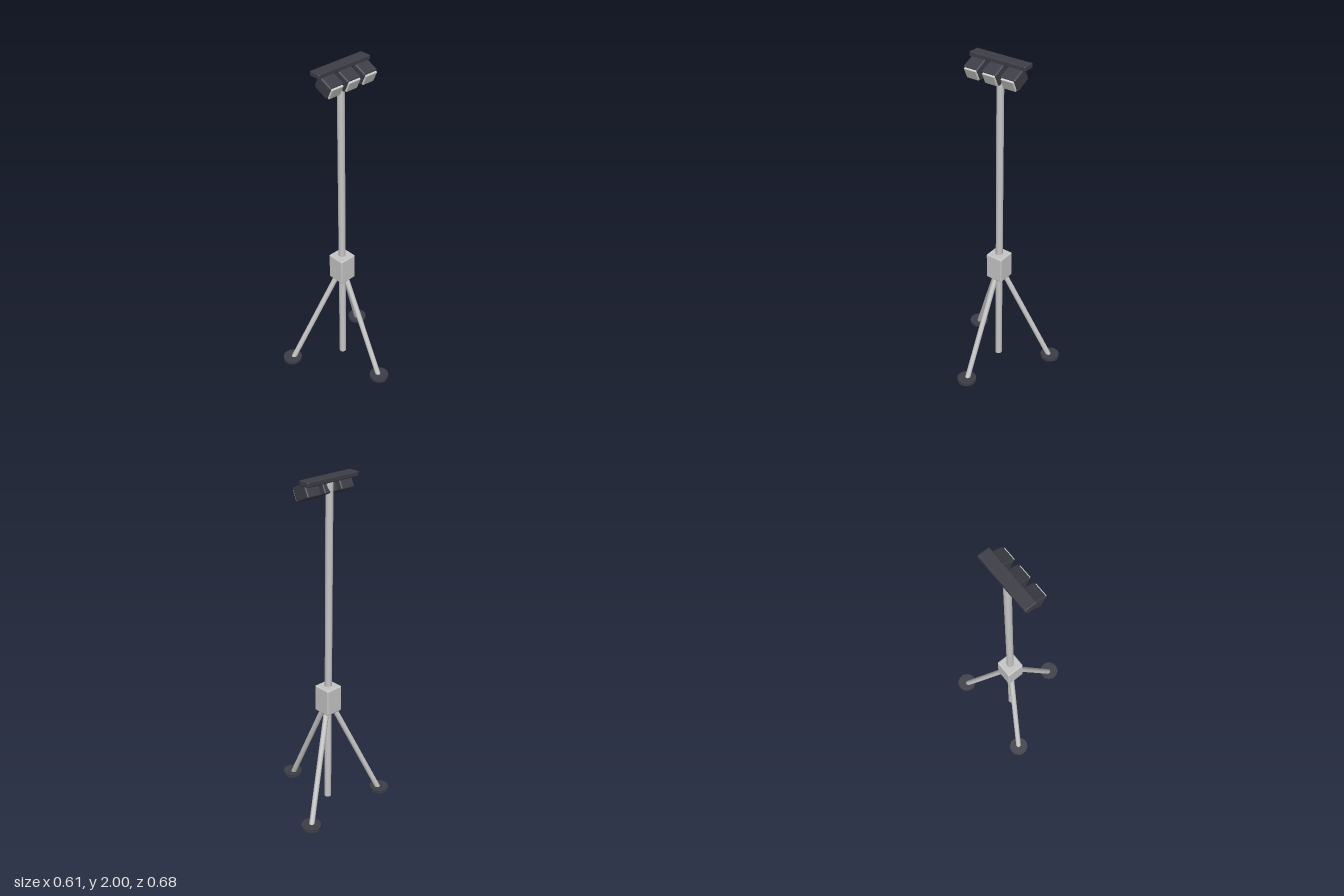
import * as THREE from 'three';
import { RoundedBoxGeometry } from 'three/addons/geometries/RoundedBoxGeometry.js';

const metal = new THREE.MeshStandardMaterial({ name: 'light grey metal', color: 0xc6c6c6 });
const dark = new THREE.MeshStandardMaterial({ name: 'dark housing', color: 0x3d3d47 });
const glass = new THREE.MeshStandardMaterial({ name: 'pale lens', color: 0xcfcfcd });

const POST_X = -0.083;

function add(parent, name, geometry, material, x = 0, y = 0, z = 0) {
  const mesh = new THREE.Mesh(geometry, material);
  mesh.name = name;
  mesh.position.set(x, y, z);
  parent.add(mesh);
  return mesh;
}

// Round rod between two points
function rod(parent, name, from, to, radius) {
  const dir = to.clone().sub(from);
  const mid = from.clone().add(to).multiplyScalar(0.5);
  const mesh = add(parent, name, new THREE.CylinderGeometry(radius, radius, dir.length(), 16), metal, mid.x, mid.y, mid.z);
  mesh.quaternion.setFromUnitVectors(new THREE.Vector3(0, 1, 0), dir.normalize());
}

export function createModel() {
  const model = new THREE.Group();
  model.name = 'tripodFloodlight';

  // Post and leg hub
  rod(model, 'post', new THREE.Vector3(POST_X, 0.015, 0), new THREE.Vector3(POST_X, 1.975, 0), 0.021);
  add(model, 'hub', new RoundedBoxGeometry(0.11, 0.162, 0.11, 2, 0.008), metal, POST_X, 0.697, 0);

  // Three splayed legs with disc feet
  for (let i = 0; i < 3; i++) {
    const a = (i * Math.PI * 2) / 3;
    const x = POST_X + 0.327 * Math.cos(a);
    const z = 0.327 * Math.sin(a);
    rod(model, 'leg', new THREE.Vector3(POST_X, 0.695, 0), new THREE.Vector3(x, 0.007, z), 0.016);
    add(model, 'foot', new THREE.CylinderGeometry(0.058, 0.058, 0.019, 16), dark, x, 0.022, z);
  }

  // Crossbar on top of the post
  add(model, 'crossbar', new RoundedBoxGeometry(0.07, 0.028, 0.357, 2, 0.006), dark, POST_X, 1.986, 0);

  // Three lamps tilted downwards, facing +x
  for (const z of [-0.118, 0, 0.118]) {
    const lamp = new THREE.Group();
    lamp.name = 'lamp';
    lamp.position.set(-0.042, 1.93, z);
    lamp.rotation.z = -THREE.MathUtils.degToRad(25);
    add(lamp, 'lampHousing', new RoundedBoxGeometry(0.1, 0.08, 0.095, 2, 0.009), dark);
    add(lamp, 'lens', new RoundedBoxGeometry(0.016, 0.066, 0.078, 2, 0.004), glass, 0.052, 0, 0);
    model.add(lamp);
  }
  return model;
}
